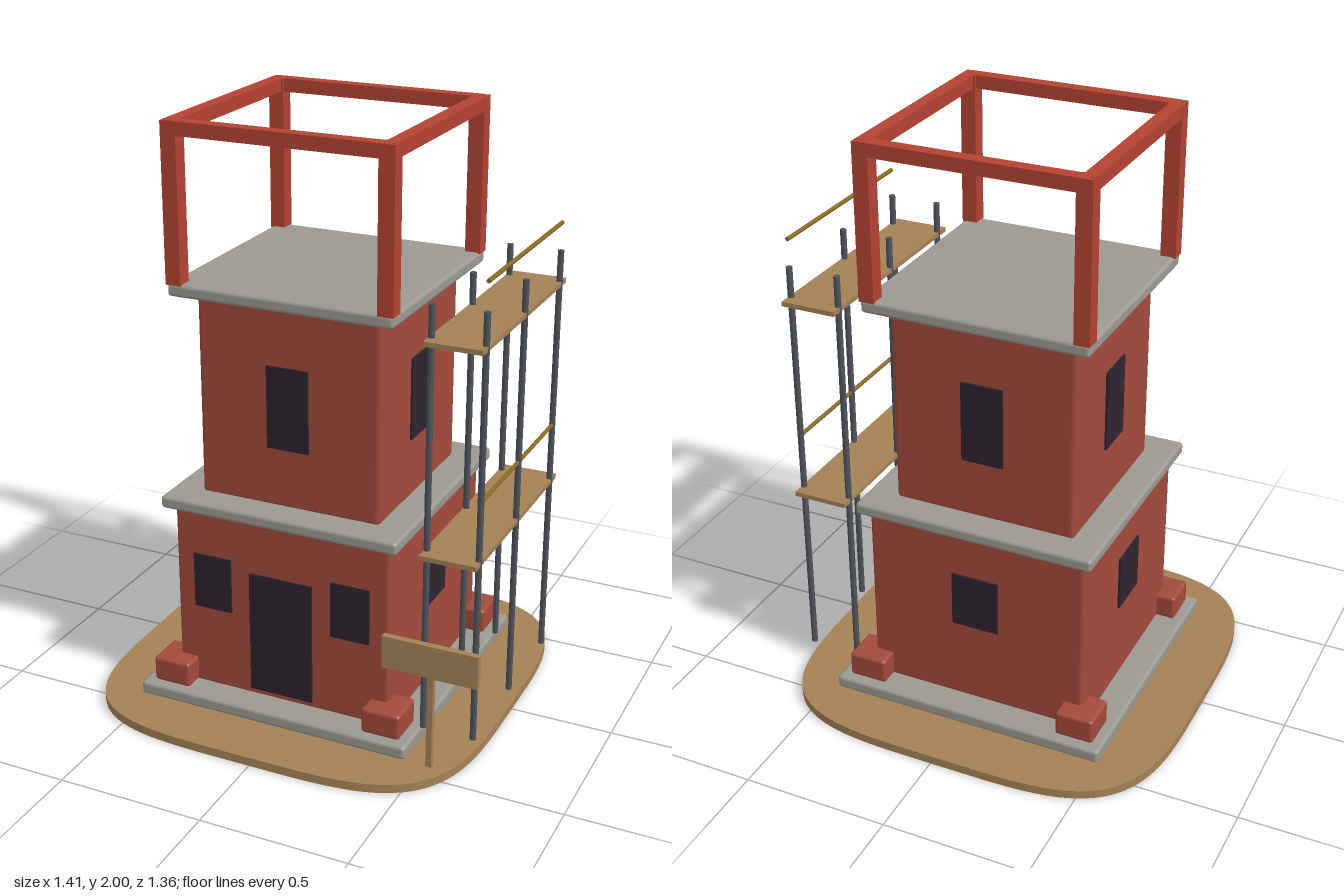
import * as THREE from 'three';
import { RoundedBoxGeometry } from 'three/addons/geometries/RoundedBoxGeometry.js';

const mat = (name, color) => new THREE.MeshStandardMaterial({ name, color });

export function createModel() {
  const brick = mat('brick red', 0xa34a3b);
  const frameRed = mat('frame red', 0xb54333);
  const concrete = mat('concrete grey', 0x9b9992);
  const glass = mat('dark opening', 0x2e2430);
  const wood = mat('wood tan', 0xa68256);
  const steel = mat('steel grey', 0x4d545c);
  const brass = mat('rail ochre', 0x8a6a22);

  const model = new THREE.Group();
  model.name = 'towerUnderConstruction';
  const tower = new THREE.Group();
  tower.name = 'tower';
  tower.position.x = -0.027;
  const scaffold = new THREE.Group();
  scaffold.name = 'scaffold';
  const sign = new THREE.Group();
  sign.name = 'sign';
  model.add(tower, scaffold, sign);

  const add = (parent, name, geometry, material, x, y, z) => {
    const mesh = new THREE.Mesh(geometry, material);
    mesh.name = name;
    mesh.position.set(x, y, z);
    parent.add(mesh);
    return mesh;
  };
  const box = (w, h, d) => new THREE.BoxGeometry(w, h, d);
  // Square block with softened edges between two heights
  const block = (name, w, y0, y1, material, r, x = 0, z = 0) =>
    add(tower, name, new RoundedBoxGeometry(w, y1 - y0, w, 3, r), material, x, (y0 + y1) / 2, z);

  // Ground: a squarish superellipse plate
  const outline = [];
  for (let i = 0; i < 96; i++) {
    const a = (i / 96) * Math.PI * 2;
    const p = (v) => Math.sign(v) * Math.sqrt(Math.abs(v)) * 0.679;
    outline.push(new THREE.Vector2(p(Math.cos(a)), p(Math.sin(a))));
  }
  const ground = new THREE.ExtrudeGeometry(new THREE.Shape(outline), { depth: 0.03, bevelEnabled: false });
  ground.rotateX(-Math.PI / 2);
  add(tower, 'ground', ground, wood, 0, 0, 0);

  // Storeys and slabs
  block('plinth', 0.972, 0.03, 0.076, concrete, 0.012);
  block('lowerStorey', 0.77, 0.07, 0.722, brick, 0.012);
  block('middleSlab', 0.84, 0.715, 0.758, concrete, 0.012);
  block('upperStorey', 0.635, 0.75, 1.445, brick, 0.015);
  block('roofSlab', 0.77, 1.44, 1.483, concrete, 0.012);

  // Corner footings and open roof frame
  for (const sx of [-1, 1]) {
    for (const sz of [-1, 1]) {
      block('cornerFooting', 0.135, 0.074, 0.163, brick, 0.012, sx * 0.385, sz * 0.385);
      add(tower, 'framePost', box(0.053, 0.52, 0.053), frameRed, sx * 0.361, 1.739, sz * 0.361);
    }
    add(tower, 'sideBeam', box(0.045, 0.045, 0.74), frameRed, sx * 0.364, 1.9775, 0);
    add(tower, 'crossBeam', box(0.74, 0.045, 0.045), frameRed, 0, 1.9775, sx * 0.364);
  }

  // Thin openings; side 0 is the front, then turning about the tower
  const opening = (name, side, dist, u, w, y0, y1) => {
    const pivot = new THREE.Group();
    pivot.name = name;
    pivot.rotation.y = side * Math.PI / 2;
    add(pivot, name + 'Panel', box(w, y1 - y0, 0.009), glass, u, (y0 + y1) / 2, dist + 0.0025);
    tower.add(pivot);
  };
  for (let side = 0; side < 4; side++) {
    opening('upperWindow', side, 0.3175, 0, 0.146, 0.957, 1.237);
    if (side > 0) opening('lowerWindow', side, 0.385, 0, 0.166, 0.363, 0.558);
  }
  opening('frontWindow', 0, 0.385, -0.25, 0.137, 0.363, 0.558);
  opening('frontWindow', 0, 0.385, 0.25, 0.137, 0.363, 0.558);
  opening('door', 0, 0.385, 0, 0.226, 0.095, 0.526);

  // Scaffold poles, decks and guard rails
  const pole = new THREE.CylinderGeometry(0.0105, 0.0105, 1.45, 12);
  for (const x of [0.464, 0.637])
    for (const z of [-0.34, 0, 0.34]) add(scaffold, 'pole', pole, steel, x, 0.802, z);
  const rail = new THREE.CylinderGeometry(0.007, 0.007, 0.68, 10).rotateX(Math.PI / 2);
  for (const y of [0.71, 1.414]) {
    add(scaffold, 'deck', box(0.19, 0.016, 0.77), wood, 0.55, y, 0);
    add(scaffold, 'guardRail', rail, brass, 0.637, y + 0.206, 0);
  }

  // Sign board on its stake
  add(sign, 'signPost', box(0.02, 0.37, 0.02), wood, 0.541, 0.213, 0.473);
  add(sign, 'signBoard', box(0.322, 0.113, 0.022), wood, 0.54, 0.415, 0.48);

  return model;
}
